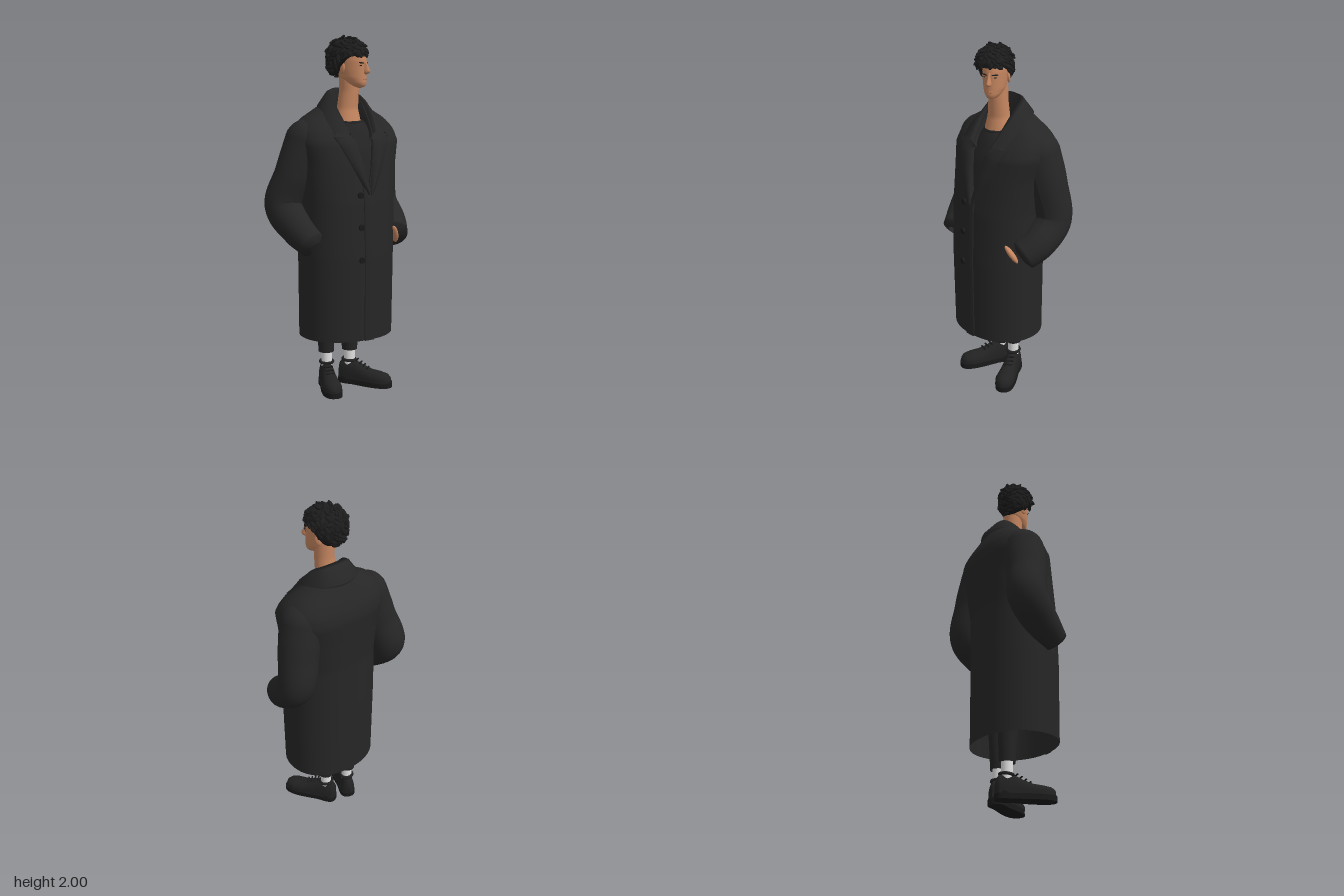
import * as THREE from 'three';
import { mergeGeometries } from 'three/addons/utils/BufferGeometryUtils.js';

const mat = (name, color, side = THREE.FrontSide) => {
  const m = new THREE.MeshStandardMaterial({ color, side });
  m.name = name;
  return m;
};
const V = (x, y, z) => new THREE.Vector3(x, y, z);

export function createModel() {
  const coatMat = mat('black wool', 0x262627, THREE.DoubleSide);
  const knitMat = mat('charcoal knit', 0x242425, THREE.DoubleSide);
  const skinMat = mat('skin', 0xc58660);
  const lipMat = mat('lips', 0xb0714f);
  const hairMat = mat('black hair', 0x1c1c1d);
  const sockMat = mat('white sock', 0xe2e2e2);
  const shoeMat = mat('black leather', 0x222222, THREE.DoubleSide);
  const soleMat = mat('black rubber', 0x1a1a1a);

  const root = new THREE.Group();
  root.name = 'standingManInCoat';
  const add = (parent, name, geo, m, pos = [0, 0, 0], rot = [0, 0, 0], scale = [1, 1, 1]) => {
    const mesh = new THREE.Mesh(geo, m);
    mesh.name = name;
    mesh.position.set(...pos);
    mesh.rotation.set(...rot);
    mesh.scale.set(...scale);
    parent.add(mesh);
  };
  const group = (parent, name, pos, yaw) => {
    const g = new THREE.Group();
    g.name = name;
    g.position.set(...pos);
    g.rotation.y = yaw;
    parent.add(g);
    return g;
  };

  // Surface through rows of points
  const grid = (rows, wrap = false) => {
    const n = rows[0].length, index = [];
    for (let i = 0; i < rows.length - 1; i++)
      for (let j = 0; j < (wrap ? n : n - 1); j++) {
        const a = i * n + j, b = i * n + (j + 1) % n;
        index.push(a, b, a + n, b, b + n, a + n);
      }
    const g = new THREE.BufferGeometry().setFromPoints(rows.flat());
    g.setIndex(index);
    g.computeVertexNormals();
    return g;
  };
  // Section at height y from keys of [y, cx, cz, halfWidth, halfDepth, squareness]
  const at = (keys, y) => {
    let i = 0;
    while (i < keys.length - 2 && y > keys[i + 1][0]) i++;
    const t = (y - keys[i][0]) / (keys[i + 1][0] - keys[i][0]);
    return keys[i].map((v, k) => THREE.MathUtils.lerp(v, keys[i + 1][k], t));
  };
  const oval = ([y, cx, cz, a, b, p = 2], th) => {
    const s = Math.sin(th), c = Math.cos(th);
    return V(cx + a * Math.sign(s) * Math.abs(s) ** (2 / p), y, cz + b * Math.sign(c) * Math.abs(c) ** (2 / p));
  };
  const loft = (keys, rows = 24, seg = 32) => grid(Array.from({ length: rows + 1 }, (_, i) => {
    const k = at(keys, THREE.MathUtils.lerp(keys[0][0], keys.at(-1)[0], i / rows));
    return Array.from({ length: seg }, (_, j) => oval(k, j / seg * Math.PI * 2));
  }), true);

  // Coat body, turned, open along the front
  const body = group(root, 'coat', [0, 0, 0], -0.37);
  const coat = [
    [0.33, -0.021, 0.052, 0.272, 0.224, 2.15], [0.8, -0.021, 0.054, 0.276, 0.225, 2.2], [1.1, -0.015, 0.05, 0.274, 0.218, 2.3],
    [1.3, -0.006, 0.028, 0.287, 0.21, 2.5], [1.42, 0, 0.008, 0.31, 0.2, 2.7], [1.48, 0, -0.006, 0.302, 0.176, 2.7],
    [1.52, 0, -0.014, 0.28, 0.15, 2.6], [1.55, 0, -0.018, 0.248, 0.13, 2.5], [1.58, 0, -0.02, 0.2, 0.112, 2.3],
    [1.61, 0, -0.02, 0.15, 0.097, 2.2], [1.64, 0, -0.01, 0.11, 0.08, 2.2]];
  const opening = y => 0.003 + 0.085 * THREE.MathUtils.clamp((y - 1.15) / 0.4, 0, 1);
  const shell = Array.from({ length: 61 }, (_, i) => {
    const k = at(coat, 0.33 + 1.31 * i / 60);
    const start = Math.asin((opening(k[0]) / k[3]) ** (k[5] / 2));
    return Array.from({ length: 65 }, (_, j) => oval(k, start + (Math.PI * 2 - 2 * start) * j / 64));
  });
  add(body, 'coatBody', grid(shell), coatMat);
  const onFront = (x, y, lift) => {
    const [, cx, cz, a, b, p] = at(coat, y);
    return V(x, y, cz + lift + b * Math.max(0, 1 - (Math.abs(x - cx) / a) ** p) ** (1 / p));
  };
  // Button strip and buttons
  add(body, 'frontPlacket', grid(Array.from({ length: 21 }, (_, i) => {
    const y = 0.33 + 0.85 * i / 20;
    return [[-0.042, 0], [-0.04, 0.008], [-0.01, 0.009], [0.018, 0.008], [0.02, 0]].map(([x, l]) => onFront(x, y, l));
  })), coatMat);
  for (const y of [1.14, 0.965, 0.785])
    add(body, 'button', new THREE.CylinderGeometry(0.016, 0.018, 0.014, 16), soleMat,
      onFront(-0.062, y, 0.006).toArray(), [Math.PI / 2, 0, 0.2]);

  // Lapels
  for (const s of [-1, 1])
    add(body, s > 0 ? 'leftLapel' : 'rightLapel', grid(Array.from({ length: 13 }, (_, i) => {
      const t = i / 12, y = 1.14 + 0.3 * t, inner = opening(y) - 0.004, outer = inner + 0.012 + 0.1 * t ** 0.9;
      return [[inner, -0.015], [inner, 0.012], [(inner + outer) / 2, 0.017], [outer, 0.016], [outer + 0.004, -0.004]]
        .map(([x, l]) => onFront(s * x, y + (x > inner ? 0.015 * t : 0), l));
    })), coatMat);

  // Turned-down collar: inner, fold, outer and under edges from one front tip round to the other
  const around = half => new THREE.CatmullRomCurve3(
    [...half.slice(1).reverse().map(([x, y, z]) => V(-x, y, z)), ...half.map(p => V(...p))]).getPoints(48);
  const edges = [
    [[0, 1.6, -0.035], [0.06, 1.59, -0.025], [0.085, 1.55, 0.04], [0.085, 1.5, 0.11], [0.06, 1.43, 0.17]],
    [[0, 1.715, -0.045], [0.07, 1.705, -0.03], [0.095, 1.665, 0.03], [0.097, 1.58, 0.11], [0.08, 1.475, 0.19]],
    [[0, 1.705, -0.065], [0.085, 1.695, -0.045], [0.117, 1.655, 0.025], [0.116, 1.575, 0.115], [0.092, 1.475, 0.2]],
    [[0, 1.63, -0.13], [0.115, 1.62, -0.09], [0.165, 1.598, 0], [0.175, 1.54, 0.1], [0.165, 1.47, 0.18]],
    [[0, 1.6, -0.115], [0.11, 1.595, -0.08], [0.158, 1.575, 0], [0.17, 1.52, 0.09], [0.16, 1.46, 0.155]]].map(around);
  add(body, 'collar', grid(edges), coatMat);

  // Sweater under the coat
  add(body, 'sweater', loft([[0.95, -0.015, 0.05, 0.255, 0.205], [1.1, -0.015, 0.046, 0.25, 0.205], [1.25, -0.012, 0.035, 0.24, 0.19],
    [1.38, -0.012, 0.032, 0.22, 0.165], [1.46, -0.01, 0.035, 0.17, 0.13], [1.51, -0.01, 0.042, 0.11, 0.098],
    [1.535, -0.01, 0.045, 0.082, 0.076]]), knitMat);
  add(body, 'sweaterNeckband', new THREE.TorusGeometry(0.08, 0.008, 8, 32), knitMat, [-0.01, 1.535, 0.045], [Math.PI / 2 + 0.12, 0, 0]);

  // Sleeves, with one wrist showing at a pocket
  const sleeve = (name, pts, radii) => {
    const curve = new THREE.CatmullRomCurve3(pts.map(p => V(...p)));
    const n = 40, seg = 24, g = new THREE.TubeGeometry(curve, n, 1, seg);
    const pos = g.attributes.position, v = V(0, 0, 0);
    for (let i = 0; i <= n; i++) {
      const c = curve.getPointAt(i / n), f = i / n * (radii.length - 1), k = Math.min(Math.floor(f), radii.length - 2);
      const r = i === n ? 0.035 : THREE.MathUtils.lerp(radii[k], radii[k + 1], f - k);
      for (let j = 0; j <= seg; j++) {
        const id = i * (seg + 1) + j;
        v.fromBufferAttribute(pos, id).sub(c).multiplyScalar(r).add(c);
        pos.setXYZ(id, v.x, v.y, v.z);
      }
    }
    g.computeVertexNormals();
    add(root, name, g, coatMat);
    add(root, name + 'Shoulder', new THREE.SphereGeometry(0.12, 28, 18), coatMat, pts[0]);
  };
  sleeve('leftSleeve', [[0.212, 1.425, 0.05], [0.26, 1.25, 0.042], [0.298, 1.05, 0.04], [0.262, 0.945, 0.135], [0.185, 0.868, 0.218]],
    [0.12, 0.118, 0.112, 0.108, 0.102, 0.096, 0.086]);
  sleeve('rightSleeve', [[-0.212, 1.425, -0.1], [-0.262, 1.25, -0.14], [-0.302, 1.07, -0.19], [-0.315, 0.95, -0.08], [-0.322, 0.86, 0.045]],
    [0.12, 0.117, 0.112, 0.11, 0.104, 0.094, 0.075]);
  add(root, 'leftWrist', new THREE.SphereGeometry(1, 16, 12), skinMat, [0.148, 0.89, 0.25], [0, 0.4, 0.6], [0.016, 0.062, 0.022]);

  // Legs, socks and shoes
  const sole = new THREE.Shape();
  sole.moveTo(0, 0.072);
  sole.bezierCurveTo(0.055, 0.072, 0.048, 0.02, 0.045, -0.03);
  sole.bezierCurveTo(0.05, -0.1, 0.085, -0.262, 0.005, -0.262);
  sole.bezierCurveTo(-0.08, -0.262, -0.05, -0.1, -0.045, -0.03);
  sole.bezierCurveTo(-0.048, 0.02, -0.055, 0.072, 0, 0.072);
  const soleGeo = new THREE.ExtrudeGeometry(sole, { depth: 0.03, bevelEnabled: false, curveSegments: 16 }).rotateX(-Math.PI / 2);
  // [z, halfWidth, height] along the shoe
  const last = [[-0.07, 0.005, 0.05], [-0.062, 0.03, 0.09], [-0.045, 0.04, 0.108], [0, 0.042, 0.112], [0.04, 0.042, 0.105],
    [0.08, 0.045, 0.085], [0.13, 0.051, 0.066], [0.19, 0.055, 0.058], [0.23, 0.045, 0.05], [0.25, 0.025, 0.035], [0.256, 0.004, 0.01]];
  const upperGeo = grid(last.map(([z, w, h]) => Array.from({ length: 21 }, (_, j) => {
    const th = j / 20 * Math.PI;
    return V(w * Math.cos(th), 0.028 + h * Math.max(0, Math.sin(th)) ** 0.75, z);
  })));
  for (const [side, x, z, yaw, lean] of [['left', 0.046, 0.014, 0.18, 0.02], ['right', -0.075, -0.066, -0.76, 0.03]]) {
    const leg = group(root, side + 'Leg', [x, 0, z], yaw);
    add(leg, 'shoeSole', soleGeo, soleMat);
    add(leg, 'shoeHeel', new THREE.CylinderGeometry(0.044, 0.044, 0.02, 20), soleMat, [0, 0.03, -0.022]);
    add(leg, 'shoeUpper', upperGeo, shoeMat);
    add(leg, 'shoeCollar', new THREE.TorusGeometry(0.036, 0.009, 8, 24), shoeMat, [0, 0.137, -0.008], [Math.PI / 2 + 0.08, 0, 0]);
    for (let i = 0; i < 4; i++)
      add(leg, 'lace', new THREE.CapsuleGeometry(0.005, 0.042, 4, 8), soleMat,
        [0, 0.138 - i * 0.013, 0.045 + i * 0.023], [0, 0.15, Math.PI / 2]);
    add(leg, 'sock', new THREE.CylinderGeometry(0.033, 0.031, 0.13, 20), sockMat, [0, 0.16, -0.005]);
    add(root, side + 'Trouser', loft([[0.2, x, z - 0.005, 0.044, 0.045], [0.34, x, z - 0.005, 0.05, 0.052],
      [0.9, x + lean * Math.sign(x), z + lean, 0.085, 0.085]], 8, 24), knitMat);
  }

  // Neck and head
  add(root, 'neck', loft([[1.48, -0.03, 0.05, 0.088, 0.078], [1.54, -0.028, 0.045, 0.078, 0.07],
    [1.6, -0.028, 0.045, 0.062, 0.058], [1.7, -0.026, 0.055, 0.053, 0.055], [1.8, -0.028, 0.055, 0.054, 0.058]]), skinMat);
  const head = group(root, 'head', [-0.033, 0, 0.06], 0.08);
  add(head, 'face', loft([[1.715, 0, 0.068, 0.006, 0.01], [1.722, 0, 0.066, 0.026, 0.032], [1.74, 0, 0.045, 0.044, 0.06],
    [1.77, 0, 0.024, 0.058, 0.08], [1.81, 0, 0.014, 0.064, 0.09], [1.86, 0, 0.009, 0.068, 0.096],
    [1.91, 0, 0, 0.068, 0.095], [1.95, 0, -0.005, 0.05, 0.075], [1.975, 0, -0.005, 0.01, 0.02]], 32, 32), skinMat);
  add(head, 'nose', loft([[1.788, 0, 0.105, 0.003, 0.006], [1.794, 0, 0.106, 0.013, 0.022], [1.805, 0, 0.106, 0.013, 0.029],
    [1.83, 0, 0.1, 0.009, 0.022], [1.862, 0, 0.095, 0.009, 0.012]], 16, 16), skinMat);
  const ball = new THREE.SphereGeometry(1, 16, 12);
  add(head, 'upperLip', ball, lipMat, [0, 1.762, 0.101], [0, 0, 0], [0.02, 0.003, 0.006]);
  add(head, 'lowerLip', ball, lipMat, [0, 1.755, 0.099], [0, 0, 0], [0.016, 0.0035, 0.006]);
  for (const s of [-1, 1]) {
    add(head, 'eye', ball, hairMat, [s * 0.028, 1.836, 0.093], [0, s * 0.3, 0], [0.011, 0.003, 0.004]);
    add(head, 'eyebrow', ball, hairMat, [s * 0.03, 1.85, 0.096], [0, s * 0.35, s * 0.08], [0.019, 0.0035, 0.005]);
    add(head, 'ear', ball, skinMat, [s * 0.068, 1.82, -0.002], [0.2, s * 0.4, 0], [0.009, 0.03, 0.019]);
  }

  // Hair cap trimmed to a hairline, covered with tousled locks
  const center = V(-0.013, 1.898, -0.008), size = V(0.092, 0.084, 0.112);
  const hairline = z => THREE.MathUtils.lerp(1.765, 1.885, THREE.MathUtils.smoothstep(z, -0.085, 0.06));
  const onCap = n => {
    const low = Math.min(n.y, 0), wide = 1 + 0.5 * low * low;
    return V(n.x * wide, n.y + 0.55 * low, n.z * wide).multiply(size).add(center);
  };
  const cap = new THREE.SphereGeometry(1, 40, 28);
  const cp = cap.attributes.position;
  for (let i = 0; i < cp.count; i++) {
    const v = onCap(V(0, 0, 0).fromBufferAttribute(cp, i));
    cp.setXYZ(i, v.x, Math.max(v.y, hairline(v.z)), v.z);
  }
  cap.computeVertexNormals();
  add(head, 'hairCap', cap, hairMat);
  let seed = 7;
  const rnd = () => (seed = (seed * 16807) % 2147483647) / 2147483647;
  const locks = [];
  for (let i = 0; i < 190; i++) {
    const ny = 1 - 1.9 * (i + 0.5) / 190, r = Math.sqrt(1 - ny * ny), th = i * 2.39996 + rnd() * 0.3;
    const n = V(r * Math.cos(th), ny, r * Math.sin(th));
    const p = onCap(n);
    if (p.y < hairline(p.z) + 0.002) continue;
    const lock = new THREE.SphereGeometry(1, 8, 6).scale(0.008 + 0.008 * rnd(), 0.02 + 0.014 * rnd(), 0.009);
    lock.rotateZ((rnd() - 0.5) * 2.4).rotateX(-0.7 * rnd());
    const q = new THREE.Quaternion().setFromUnitVectors(V(0, 0, 1), n);
    p.addScaledVector(n, 0.008 * rnd() - 0.004);
    locks.push(lock.applyQuaternion(q).translate(p.x, p.y, p.z));
  }
  add(head, 'hairLocks', mergeGeometries(locks), hairMat);
  return root;
}
